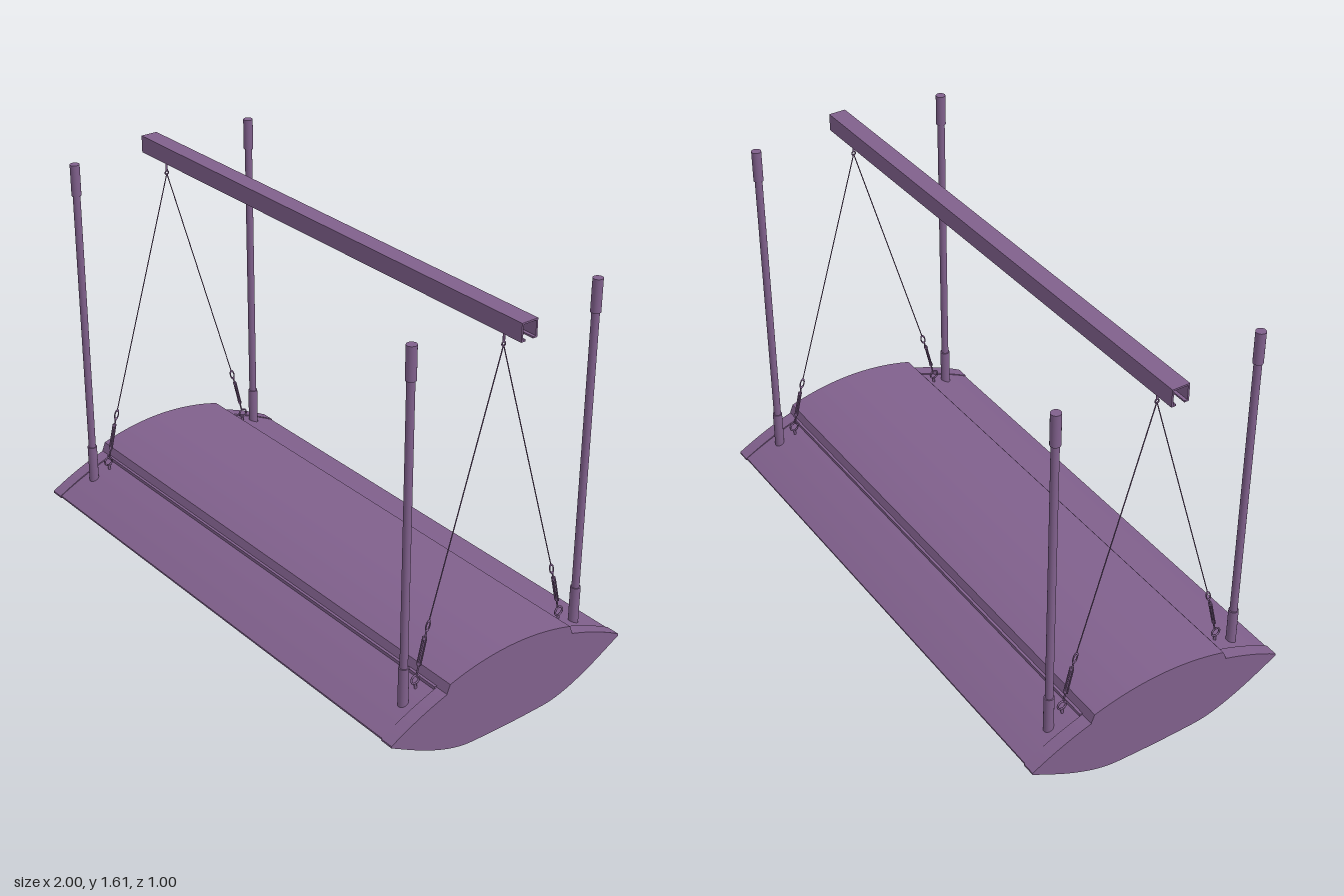
import * as THREE from 'three';
import { toCreasedNormals } from 'three/addons/utils/BufferGeometryUtils.js';

const mat = new THREE.MeshStandardMaterial({ color: 0x80608c, side: THREE.DoubleSide });

function add(parent, name, geo, x = 0, y = 0, z = 0) {
  const m = new THREE.Mesh(geo, mat);
  m.name = name;
  m.position.set(x, y, z);
  parent.add(m);
  return m;
}

// Extrude a (z, y) outline along x, centred on x = 0
function alongX(points, length) {
  const shape = new THREE.Shape(points.map(([z, y]) => new THREE.Vector2(z, y)));
  const g = new THREE.ExtrudeGeometry(shape, { depth: length, bevelEnabled: false });
  g.translate(0, 0, -length / 2).rotateY(Math.PI / 2);
  return toCreasedNormals(g, 0.4);
}

// Straight round bar between two points
function bar(parent, name, a, b, r, sides = 8) {
  const from = new THREE.Vector3(...a), to = new THREE.Vector3(...b);
  const dir = to.clone().sub(from);
  const m = add(parent, name, new THREE.CylinderGeometry(r, r, dir.length(), sides));
  m.position.copy(from).add(to).multiplyScalar(0.5);
  m.quaternion.setFromUnitVectors(new THREE.Vector3(0, 1, 0), dir.normalize());
  return m;
}

// Lens-shaped cross-section, drawn in by a small inset
function lens(inset) {
  const lower = new THREE.SplineCurve([[-0.5, 0.295], [-0.35, 0.215], [-0.22, 0.168], [-0.1, 0.158],
    [0.1, 0.158], [0.22, 0.168], [0.35, 0.215], [0.5, 0.295]].map(p => new THREE.Vector2(...p)));
  const pts = lower.getPoints(42).map(p => [p.x, p.y]);
  for (let i = 0; i <= 32; i++) {
    const z = 0.5 - i / 32;
    pts.push([z, 0.302 + 0.138 * (1 - 4 * z * z)]);
  }
  return pts.map(([z, y]) => [z * (1 - inset * 2), y + (y > 0.298 ? -inset : inset) * Math.min(1, Math.abs(y - 0.298) * 15)]);
}

// Raised curved cover on top of the body
function hood() {
  const pts = [[-0.25, 0.39], [0.25, 0.39], [0.275, 0.4]];
  for (let i = 0; i <= 24; i++) {
    const z = 0.262 * (1 - i / 12);
    pts.push([z, 0.472 - 0.04 * (z / 0.262) ** 2]);
  }
  pts.push([-0.275, 0.4]);
  return pts;
}

function makeBody() {
  const g = new THREE.Group();
  g.name = 'body';
  add(g, 'housing', alongX(lens(0.004), 1.9));
  for (const s of [-1, 1]) add(g, 'endCap', alongX(lens(0), 0.05), s * 0.975);
  add(g, 'topCover', alongX(hood(), 2));
  // Slim ledge beside the cover
  for (const s of [-1, 1]) add(g, 'coverLedge', new THREE.BoxGeometry(1.9, 0.012, 0.014), 0, 0.398, s * 0.276);
  return g;
}

// Ceiling rail: channel open below with inward lips
function makeRail() {
  const w = 0.032, t = 0.006, y0 = 1.557, y1 = 1.62, lip = 0.015;
  return alongX([[-w, y0], [-lip, y0], [-lip, y0 + t], [t - w, y0 + t], [t - w, y1 - t], [w - t, y1 - t],
    [w - t, y0 + t], [lip, y0 + t], [lip, y0], [w, y0], [w, y1], [-w, y1]], 2);
}

// Supply pipe with a sleeve at each end
function makePipe(x, z) {
  const g = new THREE.Group();
  g.name = 'pipe';
  bar(g, 'tube', [x, 0.37, z], [x, 1.6, z], 0.0135, 20);
  bar(g, 'upperSleeve', [x, 1.505, z], [x, 1.62, z], 0.0175, 20);
  bar(g, 'lowerSleeve', [x, 0.34, z], [x, 0.495, z], 0.0175, 20);
  return g;
}

// Cable with hook links, turnbuckle and eye ring
function makeCable(x, s) {
  const g = new THREE.Group();
  g.name = 'cable';
  bar(g, 'wire', [x, 1.5, 0], [x, 0.62, s * 0.263], 0.002, 6);
  const tilt = -s * 0.27;
  const link = (name, y, z, r, stretch, turn) => {
    const m = add(g, name, new THREE.TorusGeometry(r, 0.0025, 6, 16), x, y, z);
    m.rotation.set(tilt, turn, 0);
    m.scale.y = stretch;
  };
  link('upperLink', 0.6, s * 0.268, 0.008, 2.2, Math.PI / 2);
  bar(g, 'buckleScrew', [x, 0.58, s * 0.274], [x, 0.43, s * 0.31], 0.003);
  bar(g, 'buckleNut', [x, 0.563, s * 0.279], [x, 0.552, s * 0.282], 0.007);
  bar(g, 'buckleNut', [x, 0.475, s * 0.3], [x, 0.464, s * 0.303], 0.007);
  for (const d of [-0.008, 0.008]) bar(g, 'buckleSide', [x + d, 0.56, s * 0.28], [x + d, 0.466, s * 0.302], 0.0025);
  const ring = add(g, 'eyeRing', new THREE.TorusGeometry(0.016, 0.0035, 8, 20), x, 0.415, s * 0.315);
  ring.rotation.y = Math.PI / 2;
  bar(g, 'eyeStud', [x, 0.4, s * 0.315], [x, 0.36, s * 0.31], 0.005);
  return g;
}

// Turned outlet hanging off the sloped rear underside
function makeOutlet(x, profile, handle) {
  const g = new THREE.Group();
  g.name = 'outlet';
  g.position.set(x, 0.19, -0.255);
  g.rotation.x = 0.43;
  const pts = profile.map(([r, d]) => new THREE.Vector2(r, -d)).reverse();
  add(g, 'outletBody', toCreasedNormals(new THREE.LatheGeometry(pts, 20), 0.5));
  if (handle) {
    bar(g, 'sideValve', [0, -0.06, 0.03], [0, -0.06, -0.06], 0.014, 12);
    add(g, 'valveKnob', new THREE.BoxGeometry(0.035, 0.05, 0.03), 0, -0.06, -0.065);
  }
  return g;
}

function makeUnderside() {
  const g = new THREE.Group();
  g.name = 'underside';
  // Oval lamp mount, stepped
  const disc = (name, rx, rz, y, h) => {
    add(g, name, new THREE.CylinderGeometry(1, 1, h, 48), 0.4, y, 0).scale.set(rx, 1, rz);
  };
  disc('lampPlate', 0.17, 0.12, 0.151, 0.022);
  disc('lampLens', 0.135, 0.09, 0.135, 0.018);
  const rim = add(g, 'lampRim', new THREE.TorusGeometry(0.105, 0.006, 8, 48), 0.4, 0.14, 0);
  rim.rotation.x = Math.PI / 2;
  rim.scale.x = 1.4;

  // Round light on the sloped front underside
  const light = new THREE.Group();
  light.name = 'frontLight';
  light.position.set(0, 0.185, 0.28);
  light.rotation.x = -0.34;
  add(light, 'lightDisc', new THREE.CylinderGeometry(0.077, 0.072, 0.022, 40));
  add(light, 'lightGlass', new THREE.CylinderGeometry(0.05, 0.045, 0.008, 40), 0, -0.013);
  g.add(light);

  // Socket panel: two rows of square frames
  for (let c = 0; c < 3; c++) for (const z of [-0.07, 0.05]) {
    const x = -0.52 + c * 0.11;
    add(g, 'socketFrame', new THREE.BoxGeometry(0.085, 0.01, 0.085), x, 0.155, z);
    add(g, 'socketFace', new THREE.BoxGeometry(0.05, 0.008, 0.05), x, 0.148, z);
  }
  add(g, 'roundSocket', new THREE.CylinderGeometry(0.042, 0.034, 0.018, 24), -0.52, 0.149, 0);

  // Row of small blank ports on the rear slope
  for (const s of [-1, 1]) for (const x of [0.6, 0.72, 0.84]) {
    add(g, 'blankPort', new THREE.CylinderGeometry(0.014, 0.014, 0.008, 16), s * x, 0.183, -0.28).rotation.x = 0.4;
  }

  const slim = [[0, -0.02], [0.024, -0.02], [0.024, 0.03], [0.016, 0.035], [0.016, 0.08], [0.011, 0.085],
    [0.011, 0.13], [0.006, 0.135], [0.006, 0.155], [0, 0.155]];
  const long = [[0, -0.02], [0.02, -0.02], [0.02, 0.08], [0.015, 0.085], [0.015, 0.13], [0.009, 0.135],
    [0.009, 0.195], [0, 0.195]];
  const stout = [[0, -0.02], [0.036, -0.02], [0.036, 0.06], [0.03, 0.07], [0.024, 0.14], [0, 0.14]];
  g.add(makeOutlet(-0.39, slim, true), makeOutlet(-0.24, slim, true),
    makeOutlet(0.225, stout, true), makeOutlet(0.38, long, false));
  return g;
}

export function createModel() {
  const root = new THREE.Group();
  root.name = 'ceilingSupplyUnit';
  root.add(makeBody(), makeUnderside());
  add(root, 'ceilingRail', makeRail());
  for (const sx of [-1, 1]) {
    const x = sx * 0.905;
    for (const sz of [-1, 1]) root.add(makePipe(x, sz * 0.375), makeCable(x - sx * 0.012, sz));
    // Short hanger from the rail to the cable pair
    bar(root, 'hanger', [x - sx * 0.012, 1.57, 0], [x - sx * 0.012, 1.51, 0], 0.004);
    const eye = add(root, 'hangerEye', new THREE.TorusGeometry(0.007, 0.0025, 6, 16), x - sx * 0.012, 1.503, 0);
    eye.rotation.y = Math.PI / 2;
  }
  return root;
}
